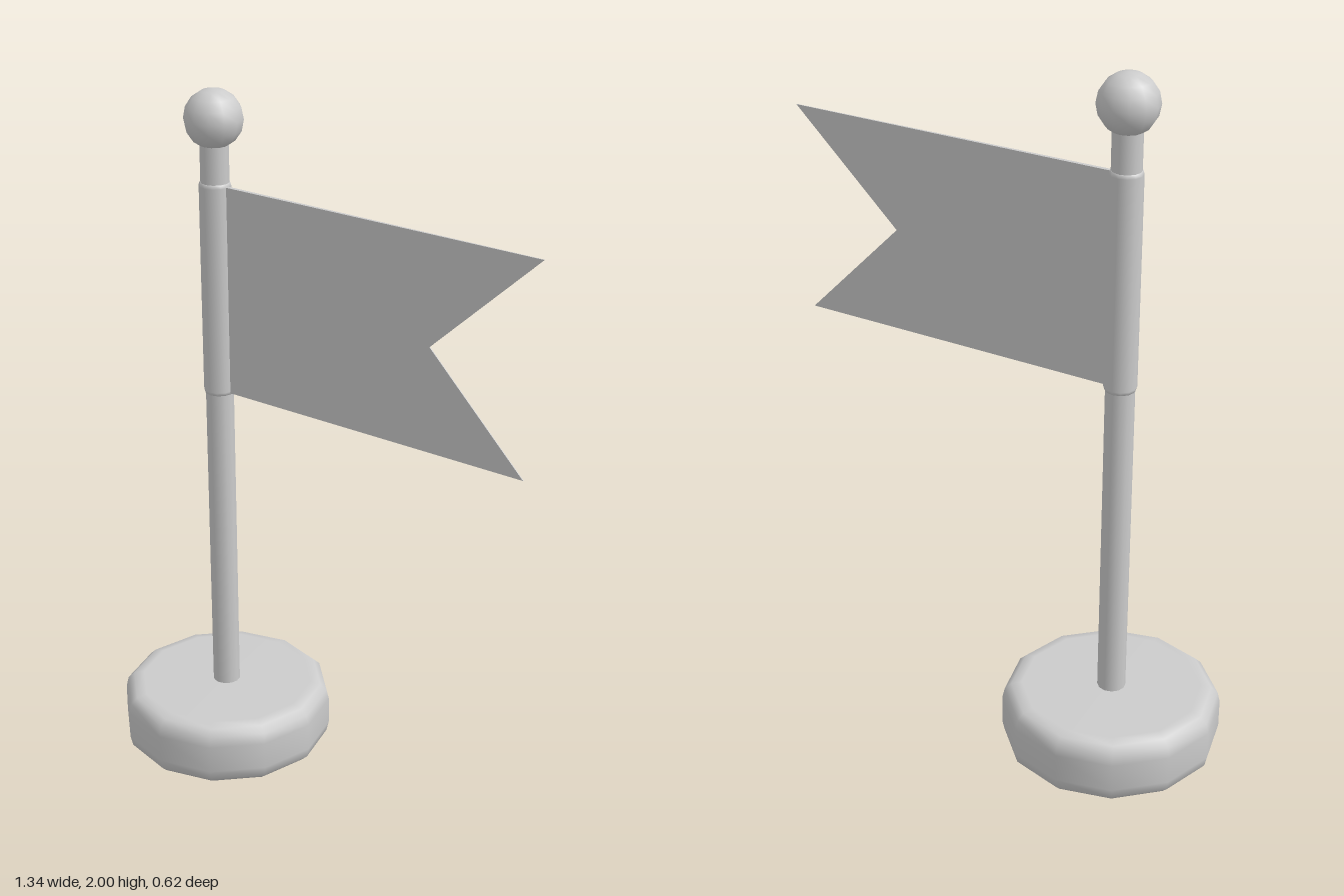
import * as THREE from 'three';

const POLE_X = -0.36;
const SIDES = 12;

export function createModel() {
  const group = new THREE.Group();
  const material = new THREE.MeshStandardMaterial({ color: 0xcccccc });

  function add(name, geometry, x = 0, y = 0) {
    const mesh = new THREE.Mesh(geometry, material);
    mesh.name = name;
    mesh.position.set(x, y, 0);
    group.add(mesh);
  }
  const lathe = (points) =>
    new THREE.LatheGeometry(points.map(([r, y]) => new THREE.Vector2(r, y)), SIDES);

  // Round foot with soft edges
  add('base', lathe([
    [0, 0.005], [0.255, 0.005], [0.285, 0.012], [0.304, 0.03], [0.311, 0.06],
    [0.311, 0.142], [0.304, 0.172], [0.285, 0.19], [0.255, 0.197], [0, 0.197],
  ]), POLE_X);
  // Small sole that touches the ground
  add('sole', new THREE.CylinderGeometry(0.255, 0.25, 0.006, SIDES), POLE_X, 0.003);

  // Pole and the ball on its end
  add('pole', new THREE.CylinderGeometry(0.04, 0.04, 1.68, SIDES), POLE_X, 1.03);
  add('finial', new THREE.SphereGeometry(0.082, SIDES, 8), POLE_X, 1.918);

  // Cloth sleeve wrapped round the pole
  add('sleeve', lathe([
    [0.038, 1.135], [0.042, 1.135], [0.045, 1.145],
    [0.045, 1.735], [0.042, 1.745], [0.038, 1.745],
  ]), POLE_X);

  // Swallow-tailed flag, thicker at the sleeve than at the tips
  const outline = [[-0.325, 1.14], [0.64, 1.14], [0.345, 1.435], [0.67, 1.737], [-0.325, 1.737]];
  const shape = new THREE.Shape(outline.map(([x, y]) => new THREE.Vector2(x, y)));
  const flag = new THREE.ExtrudeGeometry(shape, { depth: 1, bevelEnabled: false });
  const position = flag.attributes.position;
  for (let i = 0; i < position.count; i++) {
    const half = position.getX(i) < 0 ? 0.006 : 0.0015;
    position.setZ(i, position.getZ(i) > 0.5 ? half : -half);
  }
  flag.computeVertexNormals();
  add('flag', flag);

  return group;
}
